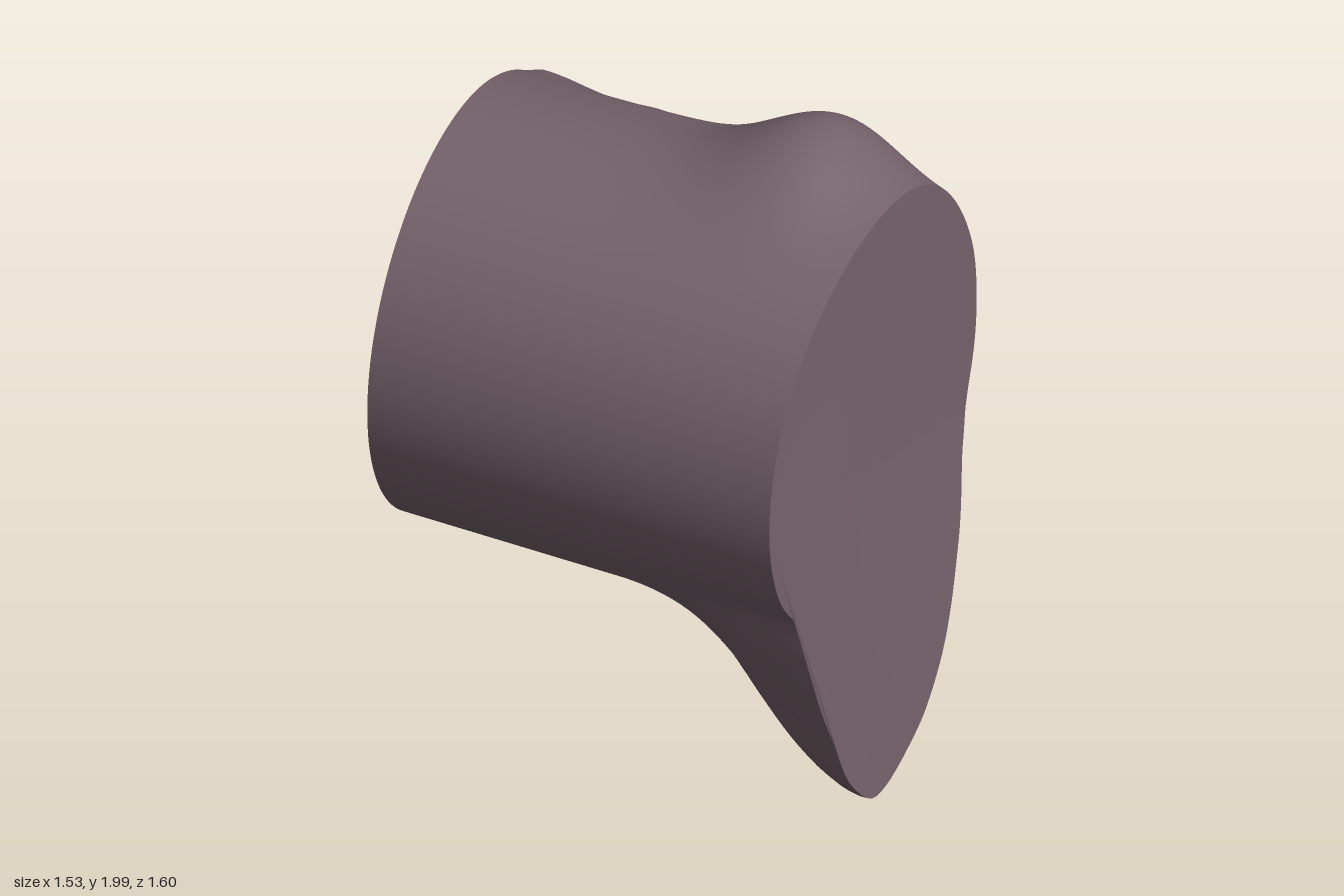
import * as THREE from 'three';

const R = 0.637, CY = 1.235, CX = -0.01, CZ = 0.044;
const COS = 0.977, SIN = 0.213; // the roll is turned a little about y
const COLS = 240, ROWS = 60;

// Outlines of the two ends: angle in degrees, radius
const FRONT = [[-200, R], [-180, R], [-155, R], [-141, 0.63], [-126, 0.745], [-111, 0.945], [-102, 1.14],
  [-94, 1.237], [-84, 1.18], [-74, 1.08], [-58, 0.865], [-39, 0.685], [-22, 0.635], [0, 0.63], [20, R], [180, R], [200, R]];
const BACK = [[-200, R], [-180, R], [-92, R], [-86, 0.645], [-75, 0.75], [-64, 0.93], [-58, 1.07], [-54, 1.135], [-51.5, 0.95],
  [-45, 0.7], [-34, 0.585], [-20, 0.6], [-4, 0.67], [8, 0.735], [18, 0.75], [32, 0.7], [50, 0.645], [70, R], [180, R], [200, R]];

// Lumps on the right side: along the axis, height, widths, amount
const LUMPS = [
  [-0.12, 1.25, 0.28, 0.36, -0.02],
  [0.09, 1.44, 0.08, 0.07, 0.15],
  [-0.31, 1.44, 0.1, 0.08, 0.1],
  [-0.13, 1.37, 0.04, 0.04, -0.05],
  [-0.12, 1.24, 0.12, 0.075, 0.19],
  [0.05, 1.24, 0.07, 0.06, 0.07],
  [-0.16, 1.08, 0.12, 0.022, -0.03],
  [-0.2, 1.01, 0.11, 0.04, 0.05],
  [0.1, 1.0, 0.09, 0.05, 0.05],
  [-0.15, 0.93, 0.13, 0.022, -0.02],
  [-0.08, 0.86, 0.15, 0.04, 0.03],
  [-0.15, 1.75, 0.2, 0.05, 0.02],
];

const smooth = THREE.MathUtils.smoothstep;
const bell = (d, w) => Math.exp(-0.5 * (d / w) ** 2);

// Smooth curve through a table; its first and last rows only set the slopes
function lookup(table, x) {
  let i = 1;
  while (i < table.length - 3 && table[i + 1][0] < x) i++;
  const slope = (k) => {
    const a = (table[k][1] - table[k - 1][1]) / (table[k][0] - table[k - 1][0]);
    const b = (table[k + 1][1] - table[k][1]) / (table[k + 1][0] - table[k][0]);
    return a * b > 0 ? (2 * a * b) / (a + b) : 0;
  };
  const [x0, y0] = table[i], [x1, y1] = table[i + 1];
  const d = x1 - x0, t = (x - x0) / d, e = 1 - t;
  return y0 * (1 + 2 * t) * e * e + y1 * t * t * (3 - 2 * t) + d * (slope(i) * t * e * e - slope(i + 1) * t * t * e);
}

// One surface point: s runs 0..1 from back to front, deg runs around
function surfacePoint(s, deg) {
  const a = THREE.MathUtils.degToRad(deg);
  const u = -0.635 + 1.27 * s;
  const wf = smooth(u, 0.04, 0.62), wb = smooth(-u, 0.18, 0.635);
  let r = R + (lookup(FRONT, deg) - R) * wf + (lookup(BACK, deg) - R) * wb;
  r += 0.163 * bell(deg - 65, 20) * bell(u - 0.33, 0.18); // crest on top
  const side = smooth(Math.cos(a), 0.15, 0.6) * smooth(0.62 - Math.abs(u), 0, 0.15);
  const h = CY + R * Math.sin(a);
  if (side > 0) for (const [lu, ly, wu, wy, k] of LUMPS) r += side * k * bell(u - lu, wu) * bell(h - ly, wy);
  const v = r * Math.cos(a), y = CY + r * Math.sin(a);
  // The ends flare: back toward its right edge and foot, front toward its foot
  const back = 0.05 * (v + R) * (1 - 0.8 * bell(deg + 36, 10)) + 0.03 * smooth(0.8 - y, 0, 0.45);
  const front = 0.06 * THREE.MathUtils.clamp((0.9 - y) / 0.8, 0, 1);
  const ue = u - back * smooth(-u, 0.1, 0.635) + front * smooth(u, 0.2, 0.635);
  return new THREE.Vector3(CX + COS * v + SIN * ue, y, CZ - SIN * v + COS * ue);
}

const ring = (s) => Array.from({ length: COLS }, (_, j) => surfacePoint(s, -180 + (360 * j) / COLS));

function geometryFrom(points, index) {
  const g = new THREE.BufferGeometry().setFromPoints(points);
  g.setIndex(index);
  g.computeVertexNormals();
  return g;
}

function bodyGeometry() {
  const points = [], index = [];
  for (let i = 0; i <= ROWS; i++) points.push(...ring(i / ROWS));
  for (let i = 0; i < ROWS; i++) {
    for (let j = 0; j < COLS; j++) {
      const k = (j + 1) % COLS;
      const a = i * COLS + j, b = i * COLS + k, c = a + COLS, d = b + COLS;
      index.push(a, b, c, b, d, c);
    }
  }
  return geometryFrom(points, index);
}

// End caps fan out from the far left point
function capGeometry(s) {
  const index = [];
  for (let j = 1; j < COLS - 1; j++) {
    if (s === 1) index.push(0, j, j + 1);
    else index.push(0, j + 1, j);
  }
  return geometryFrom(ring(s), index);
}

export function createModel() {
  const group = new THREE.Group();
  const mauve = new THREE.MeshStandardMaterial({ color: 0x75626b, side: THREE.DoubleSide });
  mauve.name = 'dusty mauve';
  const add = (name, geometry) => {
    const mesh = new THREE.Mesh(geometry, mauve);
    mesh.name = name;
    group.add(mesh);
  };
  add('body', bodyGeometry());
  add('frontCap', capGeometry(1));
  add('backCap', capGeometry(0));
  return group;
}
